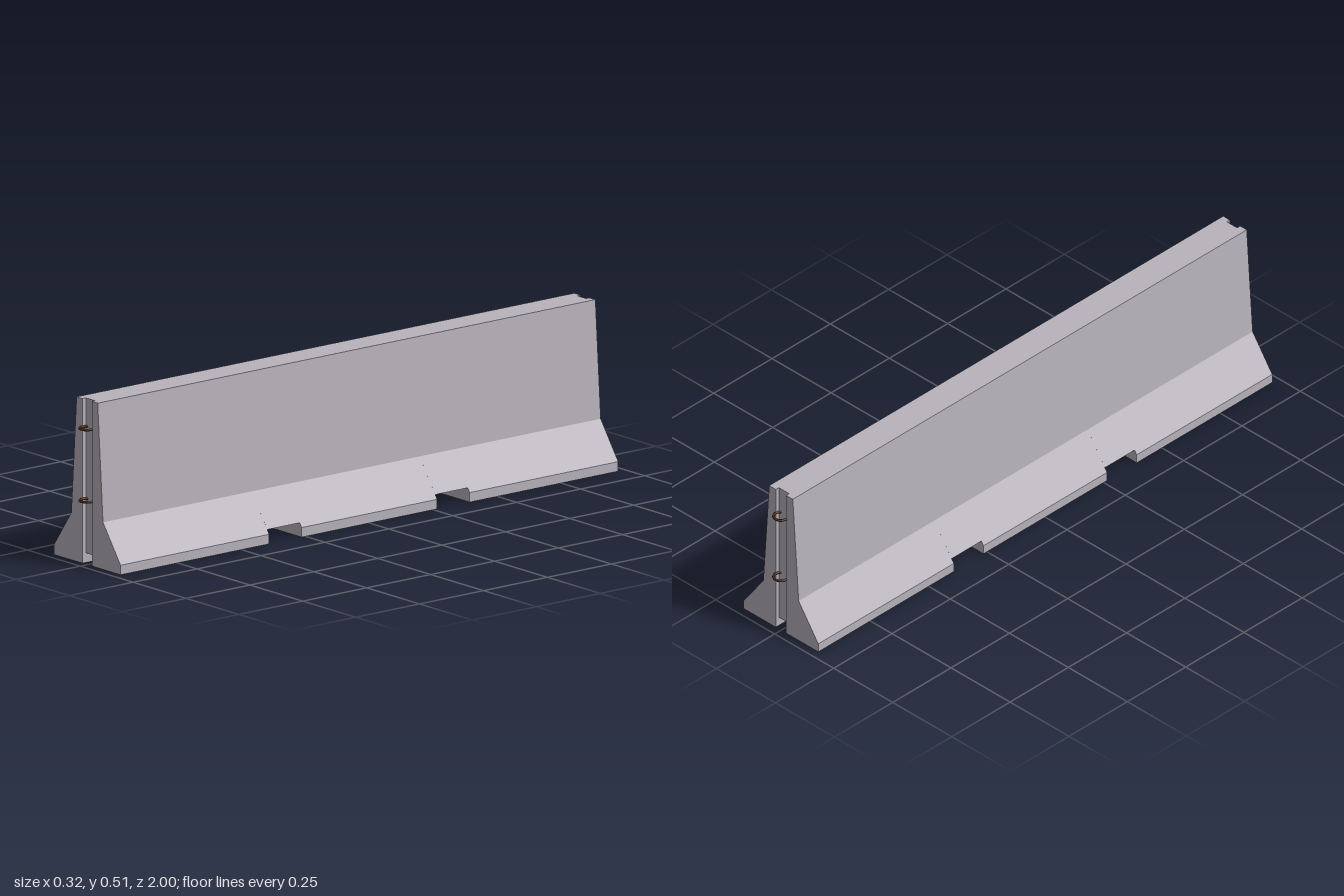
import * as THREE from 'three';
import { mergeGeometries } from 'three/addons/utils/BufferGeometryUtils.js';

const END = 0.973;       // half length of the barrier
const GROOVE = 0.96;     // z where the end grooves stop
const SLOT = 0.022;      // half width of grooves and bottom slot
const NOTCH = [0.265, 0.392];

// Extrude an x/y outline from z0 to z1
function section(points, z0, z1) {
  const shape = new THREE.Shape(points.map(([x, y]) => new THREE.Vector2(x, y)));
  const g = new THREE.ExtrudeGeometry(shape, { depth: z1 - z0, bevelEnabled: false });
  g.translate(0, 0, z0);
  return g;
}

const mirror = (pts) => pts.map(([x, y]) => [-x, y]).reverse();

export function createModel() {
  const concrete = new THREE.MeshStandardMaterial({ color: 0xb8b3bb });
  concrete.name = 'concrete';
  const rust = new THREE.MeshStandardMaterial({ color: 0x4a2a1a });
  rust.name = 'rustedSteel';

  const model = new THREE.Group();
  model.name = 'roadBarrier';

  // Right half of each cross-section, from the bottom up
  const upper = [[0.075, 0.147], [0.05, 0.513]];
  const foot = [[SLOT, 0.03], [SLOT, 0], [0.158, 0], [0.158, 0.03], ...upper];
  const raised = [[0.149, 0.043], ...upper];
  const cheek = [[SLOT, 0], [0.158, 0], [0.158, 0.03], ...upper, [SLOT, 0.513]];

  const full = [...foot, ...mirror(foot)];
  const notched = [...raised, ...mirror(raised)];

  // Footed lengths, with forklift notches between them
  const parts = [section(full, -NOTCH[0], NOTCH[0])];
  for (const s of [1, -1]) {
    const span = (pts, a, b) => section(pts, Math.min(s * a, s * b), Math.max(s * a, s * b));
    parts.push(span(notched, NOTCH[0], NOTCH[1]));
    parts.push(span(full, NOTCH[1], GROOVE));
    // Cheeks on both sides of the end groove
    parts.push(span(cheek, GROOVE, END), span(mirror(cheek), GROOVE, END));
  }
  const body = new THREE.Mesh(mergeGeometries(parts), concrete);
  body.name = 'concreteBody';
  model.add(body);

  // Connecting loops set into the end grooves
  const loopGeometry = new THREE.TorusGeometry(0.022, 0.004, 8, 28).rotateX(Math.PI / 2);
  for (const s of [1, -1]) {
    for (const y of [0.2, 0.425]) {
      const loop = new THREE.Mesh(loopGeometry, rust);
      loop.name = (s > 0 ? 'front' : 'back') + (y > 0.3 ? 'Upper' : 'Lower') + 'Loop';
      loop.position.set(0, y, s * 0.974);
      model.add(loop);
    }
  }
  return model;
}
